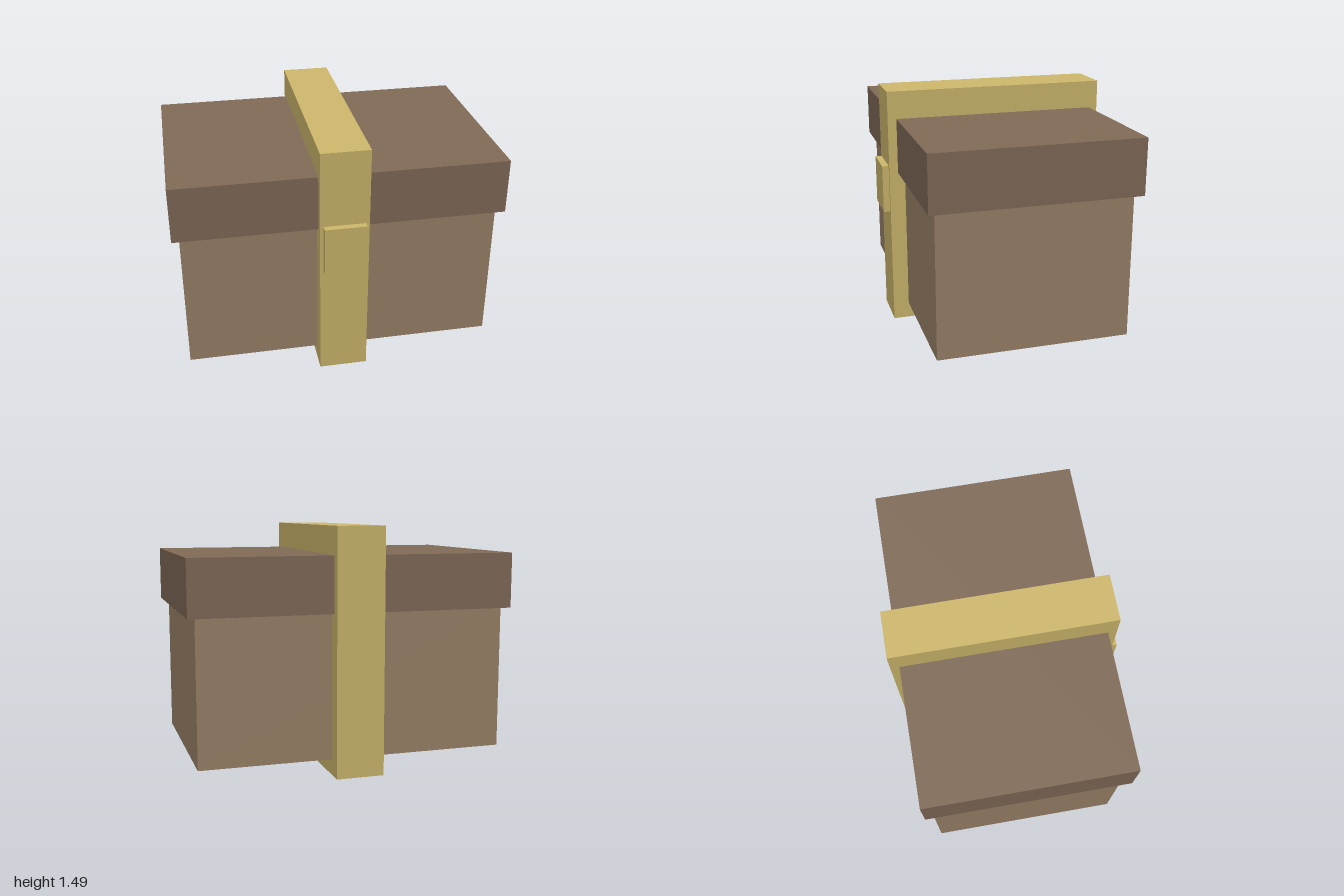
import * as THREE from 'three';

// Box given by its minimum and maximum corners
function addBox(group, name, material, min, max) {
  const size = max.map((v, i) => v - min[i]);
  const mesh = new THREE.Mesh(new THREE.BoxGeometry(...size), material);
  mesh.position.set(...max.map((v, i) => (v + min[i]) / 2));
  mesh.name = name;
  group.add(mesh);
}

export function createModel() {
  const group = new THREE.Group();
  group.name = 'chest';

  const wood = new THREE.MeshStandardMaterial({ color: 0x9a8268 });
  const darkWood = new THREE.MeshStandardMaterial({ color: 0x806a57 });
  const brass = new THREE.MeshStandardMaterial({ color: 0xcdb76c });

  // Body and the overhanging lid
  addBox(group, 'body', wood, [-0.955, 0.097, -0.604], [0.953, 0.98, 0.565]);
  addBox(group, 'lid', darkWood, [-1, 0.98, -0.648], [1, 1.32, 0.608]);

  // Band around the middle, with the clasp on its front
  addBox(group, 'band', brass, [-0.149, 0, -0.702], [0.146, 1.49, 0.662]);
  addBox(group, 'clasp', brass, [-0.129, 0.727, 0.655], [0.125, 1.023, 0.702]);

  return group;
}
